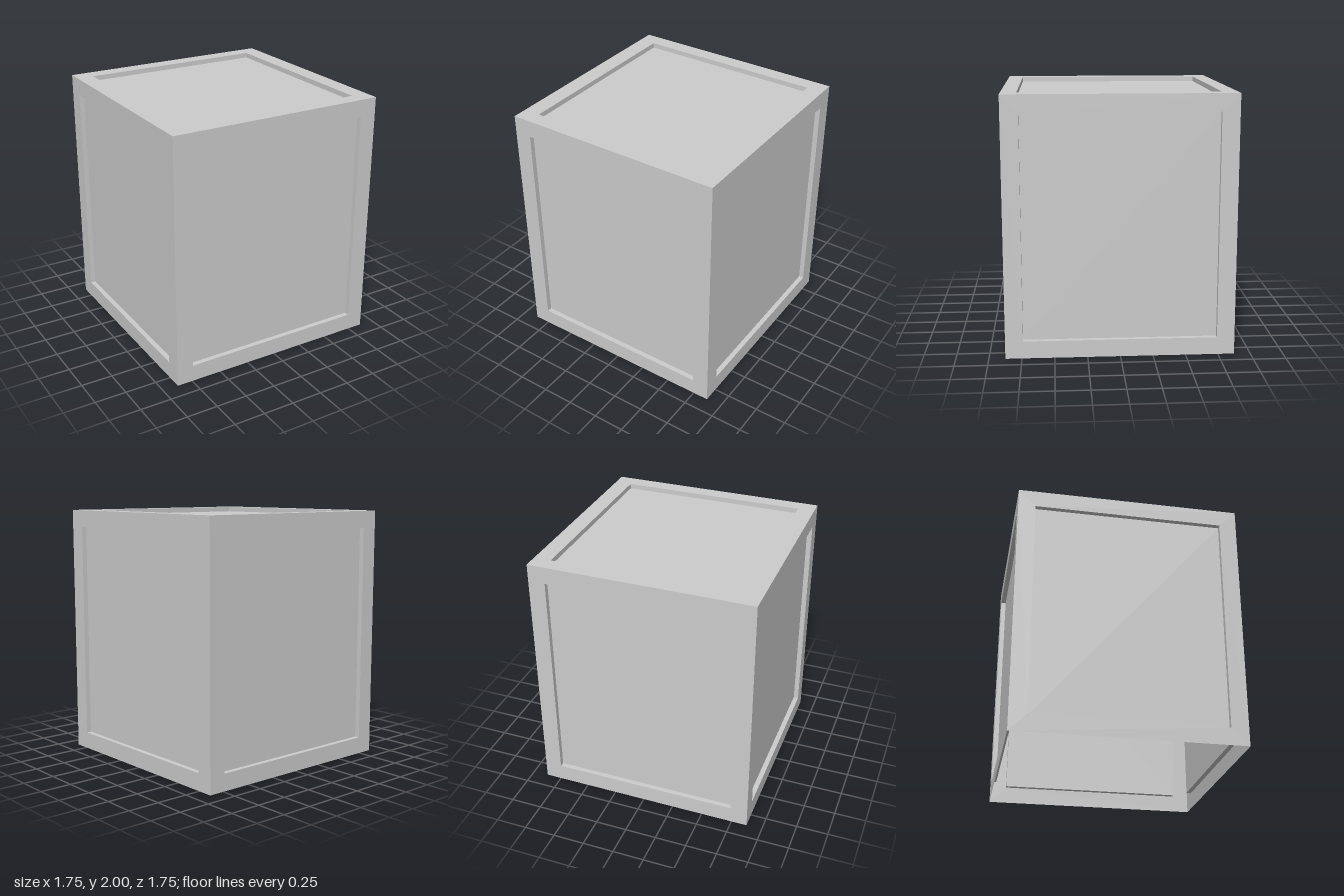
import * as THREE from 'three';

const HALF = 0.875, HEIGHT = 2, BORDER = 0.135, DEPTH = 0.04;
const material = new THREE.MeshStandardMaterial({ color: 0xcccccc, flatShading: true, side: THREE.DoubleSide });

// Rectangle corners, counter-clockwise seen from +z
const rect = (hx, hy, z) => [[-hx, -hy, z], [hx, -hy, z], [hx, hy, z], [-hx, hy, z]];

function quadMesh(name, quads) {
  const positions = quads.flatMap(([a, b, c, d]) => [a, b, c, a, c, d]).flat();
  const geometry = new THREE.BufferGeometry();
  geometry.setAttribute('position', new THREE.Float32BufferAttribute(positions, 3));
  geometry.computeVertexNormals();
  const mesh = new THREE.Mesh(geometry, material);
  mesh.name = name;
  return mesh;
}

// Band of four quads joining two rectangles
const band = (a, b) => a.map((p, i) => [p, a[(i + 1) % 4], b[(i + 1) % 4], b[i]]);

// Thin side facing +z: border, stepped edge and sunken panel
function recessedSide(name, width, height, borderX = BORDER, borderY = BORDER) {
  const hx = width / 2, hy = height / 2;
  const outer = rect(hx, hy, 0);
  const rim = rect(hx - borderX, hy - borderY, 0);
  const floor = rect(hx - borderX, hy - borderY, -DEPTH);
  const side = new THREE.Group();
  side.name = name;
  side.add(
    quadMesh('border', band(outer, rim)),
    quadMesh('recessEdge', band(rim, floor)),
    quadMesh('panel', [floor])
  );
  return side;
}

export function createModel() {
  const model = new THREE.Group();
  model.name = 'panelledBox';

  // Four walls around the vertical axis
  ['frontWall', 'leftWall', 'backWall', 'rightWall'].forEach((name, i) => {
    const angle = i * Math.PI / 2;
    const wall = recessedSide(name, HALF * 2, HEIGHT);
    wall.rotation.y = angle;
    wall.position.set(Math.sin(angle) * HALF, HEIGHT / 2, Math.cos(angle) * HALF);
    model.add(wall);
  });

  // Lid; the underside stays open
  const lid = recessedSide('lid', HALF * 2, HALF * 2, BORDER, 0.12);
  lid.rotation.x = -Math.PI / 2;
  lid.position.y = HEIGHT;
  model.add(lid);

  return model;
}
